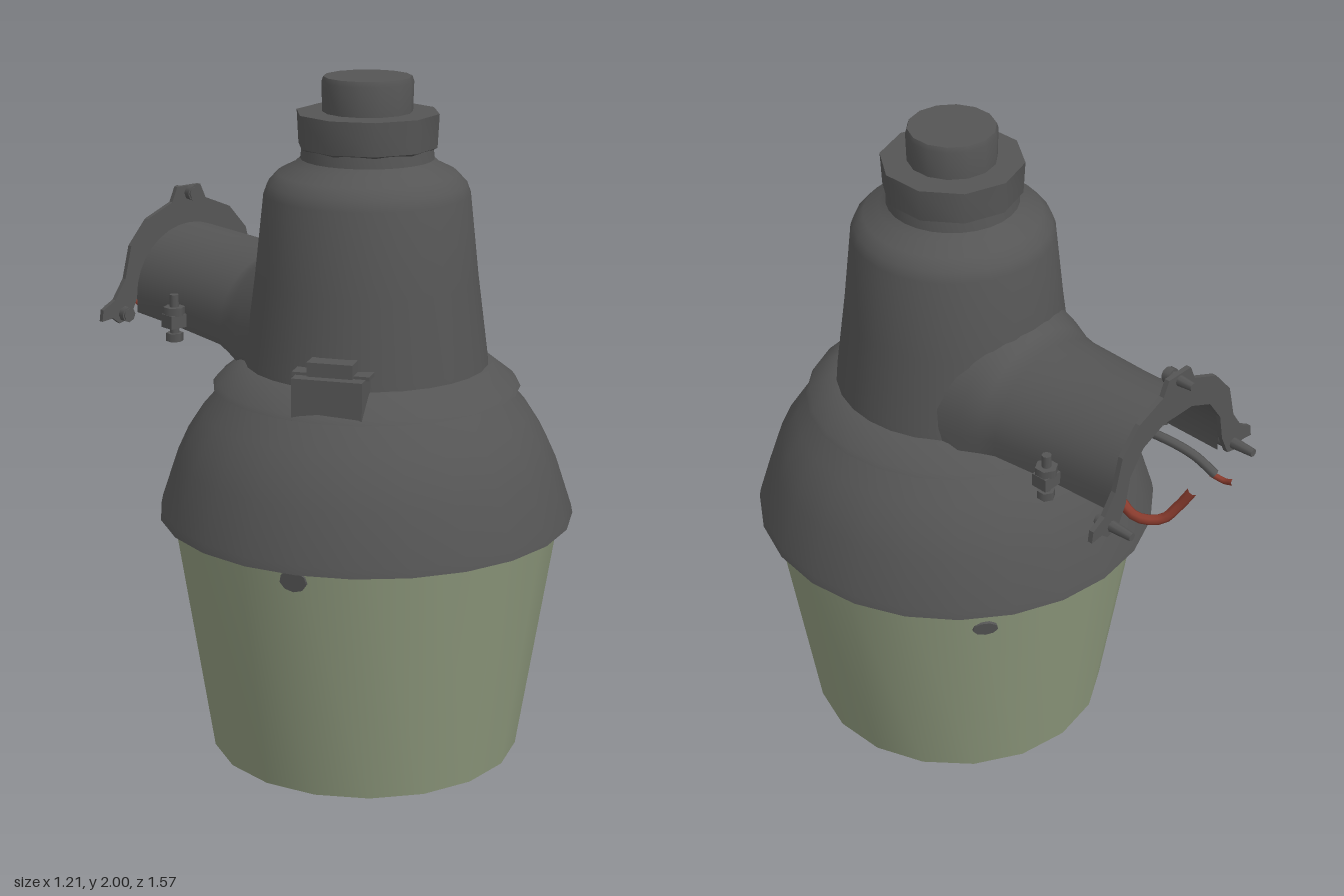
import * as THREE from 'three';
import { toCreasedNormals } from 'three/addons/utils/BufferGeometryUtils.js';

const AXIS_Z = 0.175; // the lamp's vertical axis sits forward of the wall bracket

const mat = (name, color, side = THREE.FrontSide) => {
  const m = new THREE.MeshStandardMaterial({ color, side });
  m.name = name;
  return m;
};

export function createModel() {
  const grey = mat('housing grey', 0x555555);
  const greySheet = grey.clone();
  greySheet.side = THREE.DoubleSide;
  const glass = mat('green glass', 0x8d987c, THREE.DoubleSide);
  const red = mat('red wire', 0x8a3c2e);

  const group = new THREE.Group();
  group.name = 'yardLamp';
  const add = (name, geo, material, x = 0, y = 0, z = 0, parent = group) => {
    const mesh = new THREE.Mesh(geo, material);
    mesh.name = name;
    mesh.position.set(x, y, z);
    parent.add(mesh);
    return mesh;
  };
  const lathe = (name, profile, sides, material, crease = 0.6) => {
    const geo = new THREE.LatheGeometry(profile.map(p => new THREE.Vector2(...p)), sides);
    return add(name, toCreasedNormals(geo, crease), material, 0, 0, AXIS_Z);
  };

  // Tapered glass with a closed bottom
  lathe('globe', [[0, 0.005], [0.42, 0], [0.455, 0.012], [0.567, 0.735]], 18, glass);

  // Turned housing, bottom to top
  lathe('shade', [[0.54, 0.74], [0.605, 0.73], [0.6, 0.755], [0.552, 0.9], [0.52, 0.97],
    [0.475, 1.04], [0.41, 1.115], [0.3, 1.12]], 24, grey);
  lathe('flange', [[0.38, 1.11], [0.445, 1.112], [0.435, 1.125], [0.365, 1.18], [0.33, 1.185]], 24, grey);
  lathe('body', [[0.355, 1.15], [0.35, 1.2], [0.32, 1.43], [0.294, 1.67], [0.283, 1.7],
    [0.255, 1.73], [0.21, 1.752], [0.19, 1.77], [0.185, 1.81]], 28, grey);
  lathe('collar', [[0.17, 1.79], [0.2, 1.805], [0.205, 1.9], [0.1, 1.902]], 10, grey, 0.75);
  lathe('topSensor', [[0.127, 1.88], [0.13, 1.985], [0.125, 2], [0, 2]], 14, grey, 0.7);

  // Latch on the flange
  const latch = new THREE.Group();
  latch.name = 'latch';
  latch.position.set(-0.305, 1.11, AXIS_Z + 0.2);
  latch.rotation.y = -Math.atan2(0.305, 0.2);
  group.add(latch);
  add('latchBase', new THREE.BoxGeometry(0.2, 0.12, 0.12), grey, 0, 0.06, 0, latch);
  add('latchLid', new THREE.BoxGeometry(0.22, 0.012, 0.08), grey, 0, 0.122, -0.02, latch);
  add('latchKnob', new THREE.BoxGeometry(0.13, 0.05, 0.06), grey, 0, 0.135, 0, latch);

  // Arched arm, open below, lofted along z: [z, half width, top, bottom]
  const sections = [[0.03, 0.29, 1.54, 1.17], [-0.1, 0.265, 1.5, 1.17], [-0.16, 0.245, 1.458, 1.18],
    [-0.21, 0.235, 1.442, 1.19], [-0.42, 0.216, 1.448, 1.195], [-0.652, 0.208, 1.455, 1.2]];
  const steps = 16, verts = [], faces = [];
  sections.forEach(([z, w, top, bottom], s) => {
    const spring = bottom + 0.05;
    for (let i = 0; i <= steps + 2; i++) {
      const a = Math.PI * THREE.MathUtils.clamp((i - 1) / steps, 0, 1);
      const foot = i === 0 || i === steps + 2;
      verts.push(w * Math.cos(a), foot ? bottom : spring + (top - spring) * Math.sin(a), z);
      if (s > 0 && i > 0) {
        const n = steps + 3, b = s * n + i, c = b - n;
        faces.push(c - 1, b - 1, b, c - 1, b, c);
      }
    }
  });
  const armGeo = new THREE.BufferGeometry();
  armGeo.setAttribute('position', new THREE.Float32BufferAttribute(verts, 3));
  armGeo.setIndex(faces);
  armGeo.computeVertexNormals();
  add('arm', armGeo, greySheet);

  // Horseshoe wall plate, mirrored about x = 0
  const half = [[0.045, 1.57], [0.065, 1.525], [0.16, 1.485], [0.225, 1.41], [0.25, 1.31], [0.29, 1.25],
    [0.335, 1.225], [0.34, 1.19], [0.3, 1.195], [0.275, 1.175], [0.235, 1.185], [0.205, 1.25],
    [0.19, 1.33], [0.14, 1.4], [0.06, 1.435]];
  const outline = [...half, ...half.map(([x, y]) => [-x, y]).reverse()];
  const plate = new THREE.Shape(outline.map(p => new THREE.Vector2(...p)));
  add('wallPlate', new THREE.ExtrudeGeometry(plate, { depth: 0.015, bevelEnabled: false }), grey, 0, 0, -0.668);

  // Mounting screws through the plate
  const screw = (x, y, tip) => {
    const len = tip - 0.62;
    add('mountScrew', new THREE.CylinderGeometry(0.012, 0.02, len, 8).rotateX(-Math.PI / 2),
      grey, x, y, -0.62 - len / 2);
    add('mountScrewHead', new THREE.CylinderGeometry(0.024, 0.024, 0.02, 8).rotateX(Math.PI / 2), grey, x, y, -0.635);
  };
  screw(0, 1.55, 0.715);
  for (const side of [-1, 1]) screw(side * 0.26, 1.205, 0.74);

  // Clamp under the arm with a bolt on each side
  add('clampBar', new THREE.BoxGeometry(0.42, 0.02, 0.1), grey, 0, 1.215, -0.42);
  for (const side of [-1, 1]) {
    const x = side * 0.245;
    add('clampLug', new THREE.BoxGeometry(0.08, 0.04, 0.05), grey, x - side * 0.01, 1.225, -0.415);
    add('clampBolt', new THREE.CylinderGeometry(0.014, 0.014, 0.14, 8), grey, x, 1.235, -0.415);
    add('clampNut', new THREE.CylinderGeometry(0.033, 0.033, 0.025, 6), grey, x, 1.255, -0.415);
    add('boltHead', new THREE.CylinderGeometry(0.026, 0.026, 0.025, 6), grey, x, 1.175, -0.415);
  }

  // Supply wires
  const wire = (name, pts, r, material) => add(name, new THREE.TubeGeometry(
    new THREE.CatmullRomCurve3(pts.map(p => new THREE.Vector3(...p))), 20, r, 7), material);
  wire('redWire', [[0.1, 1.25, -0.4], [0.13, 1.2, -0.56], [0.14, 1.16, -0.65], [0.1, 1.16, -0.71],
    [0.07, 1.21, -0.745], [0.055, 1.265, -0.775]], 0.015, red);
  wire('greyWire', [[-0.03, 1.28, -0.4], [-0.06, 1.28, -0.56], [-0.09, 1.25, -0.66], [-0.115, 1.2, -0.72]],
    0.014, grey);
  wire('greyWireTip', [[-0.11, 1.2, -0.71], [-0.12, 1.19, -0.75], [-0.12, 1.2, -0.78]], 0.009, red);

  // Dark marks on the glass: [x, z from axis, y, width, height]
  for (const [x, z, y, w, h] of [[-0.49, 0.256, 0.695, 0.08, 0.065], [0.33, -0.435, 0.65, 0.075, 0.05],
    [-0.13, -0.54, 0.69, 0.07, 0.045]]) {
    const a = Math.atan2(x, z), r = 0.455 + 0.155 * (y - 0.012);
    const geo = new THREE.CylinderGeometry(0.5, 0.5, 0.009, 9).rotateX(Math.PI / 2).scale(w, h, 1);
    const mark = add('glassMark', geo, grey, Math.sin(a) * r, y, AXIS_Z + Math.cos(a) * r);
    mark.rotation.set(0.154, a, 0, 'YXZ');
  }
  return group;
}
